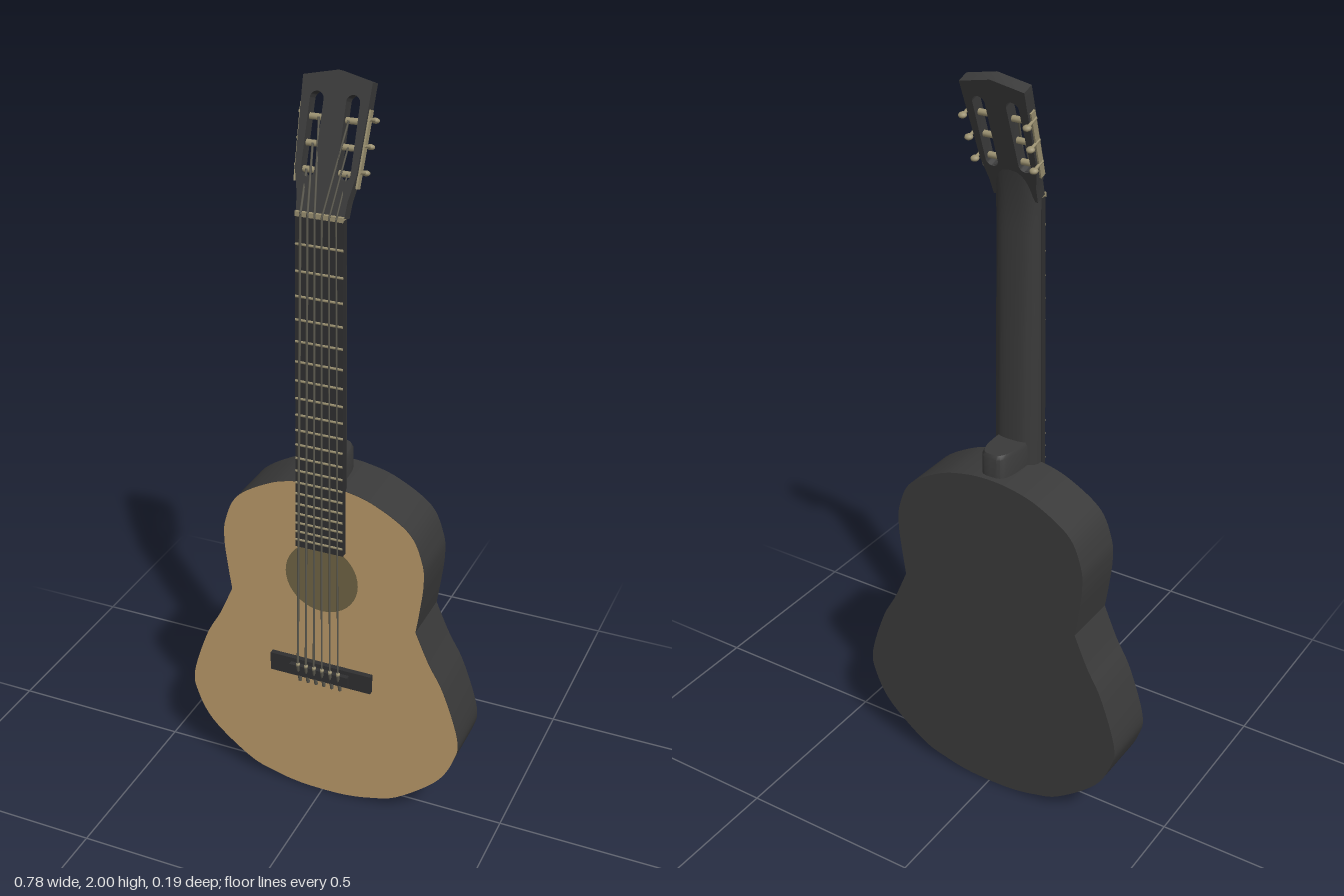
import * as THREE from 'three';
import { toCreasedNormals } from 'three/addons/utils/BufferGeometryUtils.js';

function material(name, color) {
  const m = new THREE.MeshStandardMaterial({ color });
  m.name = name;
  return m;
}

// Joins horizontal rings of [x, y, z] points (same count each) into a closed solid
function loft(rings, crease = 0.6) {
  const n = rings[0].length, last = (rings.length - 1) * n, index = [];
  for (let r = 0; r < rings.length - 1; r++) {
    for (let j = 0; j < n; j++) {
      const a = r * n + j, b = r * n + (j + 1) % n;
      index.push(a, b, b + n, a, b + n, a + n);
    }
  }
  for (let j = 1; j < n - 1; j++) index.push(0, j + 1, j, last, last + j, last + j + 1);
  const g = new THREE.BufferGeometry();
  g.setAttribute('position', new THREE.Float32BufferAttribute(rings.flat(2), 3));
  g.setIndex(index);
  return toCreasedNormals(g, crease);
}

// D-shaped ring: flat front, rounded back
function dRing(y, w, front, back, power = 0.75) {
  const ring = [];
  for (let i = 0; i <= 16; i++) {
    const a = Math.PI * i / 16, c = Math.cos(a);
    ring.push([w * Math.sign(c) * Math.abs(c) ** power, y,
      front + (back - front) * Math.max(0, Math.sin(a)) ** power]);
  }
  return ring;
}

function bodyOutline() {
  const lower = [[0.07, 0.003], [0.143, 0.017], [0.222, 0.046], [0.333, 0.137], [0.38, 0.225],
    [0.387, 0.296], [0.344, 0.43], [0.3, 0.513], [0.262, 0.6]];
  const upper = [[0.272, 0.67], [0.28, 0.746], [0.275, 0.81], [0.238, 0.89], [0.143, 0.95],
    [0.06, 0.973], [0, 0.978]];
  const v = (pts, s) => pts.map(([x, y]) => new THREE.Vector2(s * x, y));
  const shape = new THREE.Shape();
  shape.moveTo(0, 0);
  shape.splineThru(v(lower, 1));
  shape.splineThru(v(upper, 1));
  shape.splineThru(v([...upper.slice(0, -1).reverse(), [0.262, 0.6]], -1));
  shape.splineThru(v([...lower.slice(0, -1).reverse(), [0, 0]], -1));
  return shape;
}

export function createModel() {
  const black = material('dark lacquer', 0x3a3a3a);
  const ebony = material('dark fretboard', 0x2f2f30);
  const spruce = material('tan top wood', 0xb89868);
  const hollow = material('olive sound hole', 0x6e6243);
  const brass = material('pale brass', 0x9a9070);
  const steel = material('grey string', 0x5c5a50);

  const model = new THREE.Group();
  const add = (name, geometry, mat, parent = model, x = 0, y = 0, z = 0) => {
    const mesh = new THREE.Mesh(geometry, mat);
    mesh.name = name;
    mesh.position.set(x, y, z);
    parent.add(mesh);
    return mesh;
  };
  const box = (name, w, h, d, mat, parent, x, y, z) =>
    add(name, new THREE.BoxGeometry(w, h, d), mat, parent, x, y, z);
  const rod = (name, a, b, r, mat, parent = model, sides = 6) => {
    const dir = b.clone().sub(a);
    const mesh = add(name, new THREE.CylinderGeometry(r, r, dir.length(), sides), mat, parent);
    mesh.position.copy(a).add(b).multiplyScalar(0.5);
    mesh.quaternion.setFromUnitVectors(new THREE.Vector3(0, 1, 0), dir.normalize());
    return mesh;
  };
  const vec = (x, y, z) => new THREE.Vector3(x, y, z);

  // Body: extruded outline with a wooden face and sound hole
  const outline = bodyOutline();
  const shell = new THREE.ExtrudeGeometry(outline, { depth: 0.156, bevelEnabled: false, curveSegments: 6 });
  add('body', toCreasedNormals(shell, 0.5), black, model, 0, 0, -0.095);
  add('soundboard', new THREE.ShapeGeometry(outline, 6), spruce, model, 0, 0, 0.0625);
  add('soundHole', new THREE.CircleGeometry(0.102, 40), hollow, model, 0, 0.7, 0.0645);

  // Neck and heel
  const boardZ = y => 0.079 - (y - 0.79) * 0.01;
  const boardW = y => 0.066 - (y - 0.79) * 0.005;
  add('neck', loft([
    dRing(0.96, 0.064, 0.064, 0.014),
    dRing(1.3, 0.0625, 0.063, 0.017),
    dRing(1.6, 0.061, 0.061, 0.021),
    dRing(1.69, 0.061, 0.06, 0.02),
    dRing(1.76, 0.064, 0.042, 0.008),
  ]), black);
  add('heel', loft([
    dRing(0.94, 0.045, 0.04, -0.08, 0.6),
    dRing(1.03, 0.045, 0.04, -0.08, 0.6),
    dRing(1.04, 0.04, 0.04, -0.075, 0.6),
  ]), black);

  // Fretboard
  const boardRing = y => {
    const w = boardW(y), f = boardZ(y), b = f - 0.018;
    return [[w, y, f], [w, y, b], [-w, y, b], [-w, y, f]];
  };
  add('fretboard', loft([boardRing(0.79), boardRing(1.685)]), ebony);

  // Frets follow the equal-tempered spacing
  const nutY = 1.685, saddleY = 0.41;
  for (let n = 1; n <= 20; n++) {
    const y = saddleY + (nutY - saddleY) * 2 ** (-n / 12);
    const w = boardW(y) - 0.001, z = boardZ(y);
    rod('fret', vec(-w, y, z), vec(w, y, z), 0.0035, brass);
  }
  box('nut', 0.122, 0.012, 0.02, brass, model, 0, 1.688, 0.064);

  // Bridge
  box('bridgeBase', 0.29, 0.054, 0.016, ebony, model, 0, 0.407, 0.069);
  box('saddle', 0.168, 0.03, 0.014, ebony, model, 0, 0.407, 0.083);

  // Slotted headstock, leaning back
  const head = new THREE.Group();
  head.name = 'headstock';
  head.position.set(0, 1.69, 0.067);
  head.rotation.x = -0.339;
  model.add(head);
  const plate = new THREE.Shape([[-0.061, 0], [0.061, 0], [0.064, 0.04], [0.077, 0.1], [0.086, 0.31],
    [0, 0.329], [-0.086, 0.31], [-0.077, 0.1], [-0.064, 0.04]].map(p => new THREE.Vector2(...p)));
  for (const s of [-1, 1]) {
    const slot = new THREE.Path();
    slot.absarc(s * 0.045, 0.26, 0.017, 0, Math.PI, false);
    slot.absarc(s * 0.045, 0.1, 0.017, Math.PI, 2 * Math.PI, false);
    slot.closePath();
    plate.holes.push(slot);
  }
  const plateGeo = new THREE.ExtrudeGeometry(plate, { depth: 0.033, bevelEnabled: false, curveSegments: 10 });
  add('headPlate', toCreasedNormals(plateGeo, 0.5), black, head, 0, 0, -0.033);

  // Tuners: side plate, rollers in the slot, stems and buttons
  const rollerY = [0.1, 0.16, 0.22];
  for (const s of [-1, 1]) {
    const sidePlate = box('tunerPlate', 0.005, 0.18, 0.018, brass, head, s * 0.0815, 0.16, -0.0165);
    sidePlate.rotation.z = -s * 0.043;
    for (const y of rollerY) {
      const x = s * (0.083 + (y - 0.16) * 0.05);
      rod('roller', vec(s * 0.026, y, -0.016), vec(x, y, -0.016), 0.008, brass, head, 10);
      rod('tunerStem', vec(x, y + 0.008, -0.008), vec(x, y + 0.008, -0.048), 0.004, brass, head, 8);
      const button = add('tunerButton', new THREE.SphereGeometry(1, 12, 8), brass, head, x, y + 0.008, -0.048);
      button.scale.set(0.011, 0.007, 0.01);
    }
  }

  // Strings: tail over the bridge, span to the nut, then run to a roller
  head.updateMatrix();
  for (let i = 0; i < 6; i++) {
    const k = i - 2.5, s = Math.sign(k), r = 0.0021 + (5 - i) * 0.0002;
    const bottom = vec(k * 0.0232, 0.425, 0.091);
    const top = vec(k * 0.018, nutY + 0.003, 0.0765);
    const roller = vec(s * (0.037 + (Math.abs(k) - 0.5) * 0.007), rollerY[2.5 - Math.abs(k)], -0.008)
      .applyMatrix4(head.matrix);
    rod('string', bottom, top, r, steel);
    rod('stringHeadEnd', top, roller, r, steel);
    rod('stringTail', vec(bottom.x, 0.368, 0.076), bottom, 0.005, steel, model, 8);
    add('stringBead', new THREE.SphereGeometry(0.006, 8, 6), brass, model, bottom.x, 0.428, 0.09);
  }
  return model;
}
